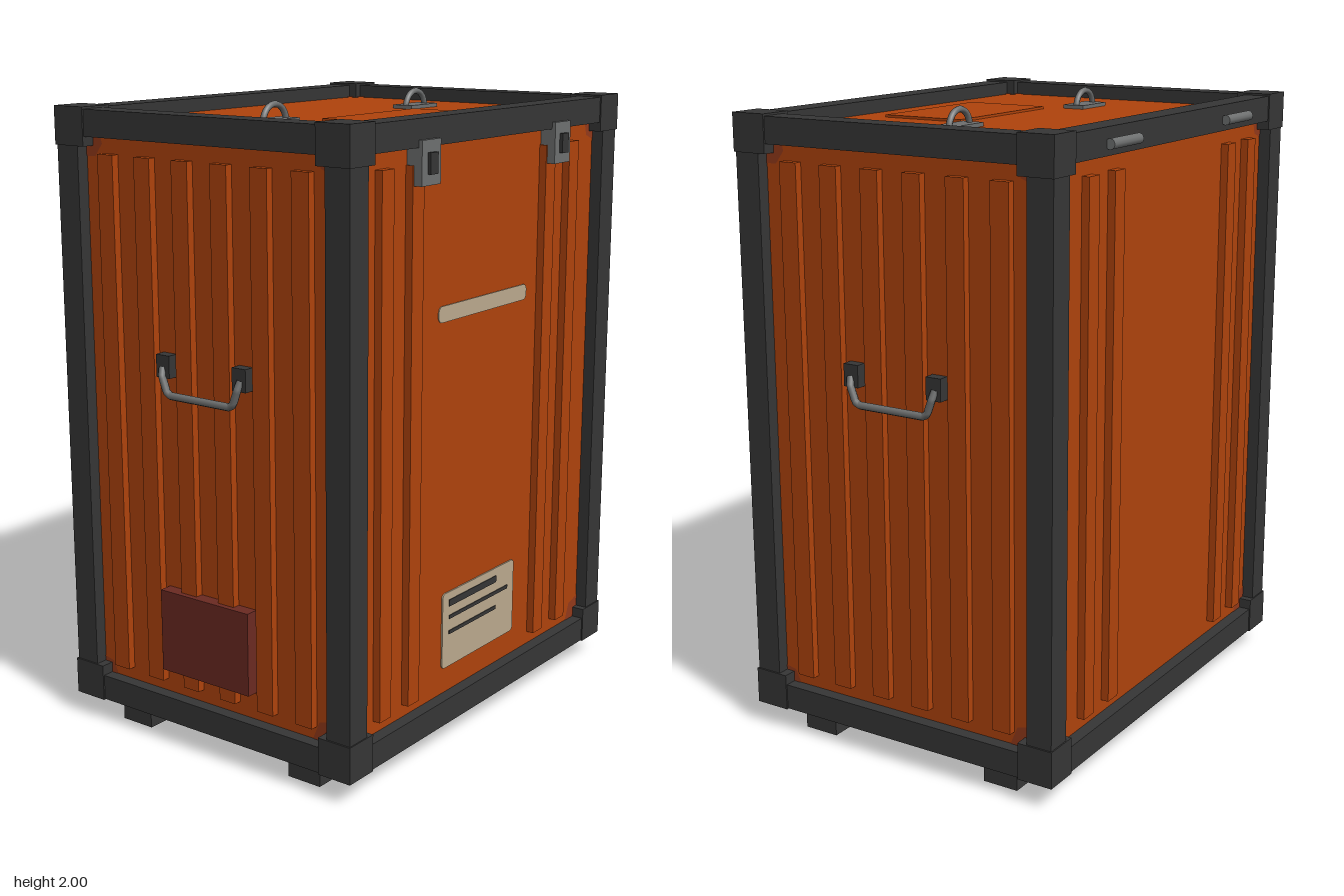
import * as THREE from 'three';

const mat = (name, color) => {
  const m = new THREE.MeshStandardMaterial({ color });
  m.name = name;
  return m;
};

export function createModel() {
  const orange = mat('orange paint', 0xb0430c);
  const dark = mat('dark frame', 0x363636);
  const steel = mat('steel', 0x6e7070);
  const cream = mat('cream paint', 0xbcaa8e);
  const rust = mat('rust', 0x93391a);
  const maroon = mat('maroon plate', 0x6b2a22);

  const model = new THREE.Group();
  model.name = 'crate';

  const add = (parent, name, geometry, material, x = 0, y = 0, z = 0) => {
    const mesh = new THREE.Mesh(geometry, material);
    mesh.name = name;
    mesh.position.set(x, y, z);
    parent.add(mesh);
    return mesh;
  };
  const box = (parent, name, material, w, h, d, x, y, z) =>
    add(parent, name, new THREE.BoxGeometry(w, h, d), material, x, y, z);

  // Thin painted plate with rounded corners, lying in the local xy plane
  const plate = (parent, name, material, w, h, r, x, y, z, depth = 0.003) => {
    const s = new THREE.Shape();
    const a = w / 2, b = h / 2;
    s.moveTo(-a + r, -b).lineTo(a - r, -b);
    s.absarc(a - r, -b + r, r, -Math.PI / 2, 0);
    s.absarc(a - r, b - r, r, 0, Math.PI / 2);
    s.absarc(-a + r, b - r, r, Math.PI / 2, Math.PI);
    s.absarc(-a + r, -b + r, r, Math.PI, Math.PI * 1.5);
    const g = new THREE.ExtrudeGeometry(s, { depth, bevelEnabled: false, curveSegments: 4 });
    return add(parent, name, g, material, x, y, z);
  };

  // Recessed body
  const PX = 0.70, PZ = 0.515, TOP = 1.935, BOTTOM = 0.115;
  box(model, 'body', orange, PX * 2, TOP - BOTTOM, PZ * 2, 0, (TOP + BOTTOM) / 2, 0);

  // Frame: posts, beams and corner blocks
  for (const sx of [-1, 1]) {
    for (const sz of [-1, 1]) {
      box(model, 'cornerPost', dark, 0.085, 1.8, 0.085, sx * 0.6975, 1.03, sz * 0.5125);
      for (const y of [0.133, 1.925]) {
        box(model, 'cornerBlock', dark, 0.115, 0.118, 0.118, sx * 0.6875, y, sz * 0.5);
      }
    }
    for (const y of [0.1175, 1.9365]) {
      box(model, 'sideBeam', dark, 0.085, 0.082, 1.0, sx * 0.6975, y, 0);
      box(model, 'longBeam', dark, 1.3, 0.082, 0.085, 0, y, sx * 0.5125);
    }
    // Skids
    box(model, 'skid', dark, 1.38, 0.078, 0.12, 0, 0.039, sx * 0.345);
  }

  // One local frame per face: x across, y up, z outwards
  const makeFace = (name, distance, rotY) => {
    const g = new THREE.Group();
    g.name = name;
    g.rotation.y = rotY;
    g.position.set(Math.sin(rotY) * distance, 0, Math.cos(rotY) * distance);
    model.add(g);
    return g;
  };
  const front = makeFace('frontFace', PZ, 0);
  const back = makeFace('backFace', PZ, Math.PI);
  const plusSide = makeFace('leftFace', PX, Math.PI / 2);
  const minusSide = makeFace('rightFace', PX, -Math.PI / 2);

  // Pressed vertical ribs
  const rib = (face, x, w) => box(face, 'rib', orange, w, 1.645, 0.025, x, 1.0225, 0.0125);
  for (const x of [-0.542, -0.394, 0.346, 0.494]) {
    rib(front, x, 0.058);
    rib(back, -x, 0.058);
  }
  for (const face of [plusSide, minusSide]) {
    for (let i = 0; i < 6; i++) rib(face, -0.372 + i * 0.1488, 0.062);
  }

  // Rust spots creeping out from the frame corners
  const rustCorners = (face, halfW, y0, y1) => {
    let i = 0;
    for (const sx of [-1, 1]) {
      for (const y of [y0, y1]) {
        const r = 0.045 + 0.012 * (i % 3);
        const spot = add(face, 'rustSpot', new THREE.CircleGeometry(r, 7), rust, sx * halfW, y, 0.002);
        spot.rotation.z = i++ * 0.7;
      }
    }
  };
  rustCorners(front, 0.645, 0.165, 1.885);
  rustCorners(back, 0.645, 0.165, 1.885);
  rustCorners(plusSide, 0.46, 0.165, 1.885);
  rustCorners(minusSide, 0.46, 0.165, 1.885);

  // Front paint stripe and information plate with ruled bars
  plate(front, 'paintStripe', cream, 0.5, 0.05, 0.018, 0, 1.385, 0.001);
  plate(front, 'infoPlate', cream, 0.42, 0.25, 0.014, 0, 0.368, 0.001, 0.005);
  for (const [x0, x1, y, h] of [
    [-0.175, 0.1, 0.456, 0.022],
    [-0.175, 0.17, 0.409, 0.012],
    [-0.175, 0.1, 0.358, 0.012],
  ]) {
    box(front, 'infoBar', dark, x1 - x0, h, 0.003, (x0 + x1) / 2, y, 0.007);
  }

  // Square plate low on one side
  box(minusSide, 'sidePlate', maroon, 0.35, 0.265, 0.043, 0, 0.3825, 0.0215);

  // Drop handles on both sides
  for (const face of [plusSide, minusSide]) {
    for (const s of [-1, 1]) {
      box(face, 'handleMount', dark, 0.052, 0.07, 0.035, s * 0.149, 1.228, 0.0175);
    }
    const path = new THREE.CurvePath();
    const pts = [
      [-0.153, 1.225, 0.03], [-0.148, 1.2, 0.04], [-0.13, 1.152, 0.04], [-0.115, 1.143, 0.04],
      [0.115, 1.143, 0.04], [0.13, 1.152, 0.04], [0.148, 1.2, 0.04], [0.153, 1.225, 0.03],
    ].map((p) => new THREE.Vector3(...p));
    for (let i = 1; i < pts.length; i++) path.add(new THREE.LineCurve3(pts[i - 1], pts[i]));
    add(face, 'handleBar', new THREE.TubeGeometry(path, 48, 0.012, 8), steel);
  }

  for (const s of [-1, 1]) {
    // Front latches
    box(model, 'latchBase', steel, 0.095, 0.13, 0.052, s * 0.37, 1.852, 0.541);
    box(model, 'latchTongue', dark, 0.038, 0.062, 0.012, s * 0.37, 1.85, 0.572);

    // Rear hinge barrels
    const hinge = add(model, 'hinge', new THREE.CylinderGeometry(0.016, 0.016, 0.17, 12), steel, s * 0.37, 1.93, -0.565);
    hinge.rotation.z = Math.PI / 2;

    // Lifting eyes on the lid
    box(model, 'liftingPlate', steel, 0.15, 0.012, 0.075, s * 0.372, TOP + 0.006, -0.003);
    add(model, 'liftingEye', new THREE.TorusGeometry(0.055, 0.01, 8, 20, Math.PI), steel, s * 0.372, TOP, -0.003);
  }

  // Lid panel and rust at its corners
  box(model, 'lidPanel', orange, 0.49, 0.008, 0.285, 0, TOP + 0.004, 0.2225);
  const lid = new THREE.Group();
  lid.name = 'lidFace';
  lid.position.y = TOP;
  lid.rotation.x = -Math.PI / 2;
  model.add(lid);
  rustCorners(lid, 0.65, -0.465, 0.465);

  return model;
}
